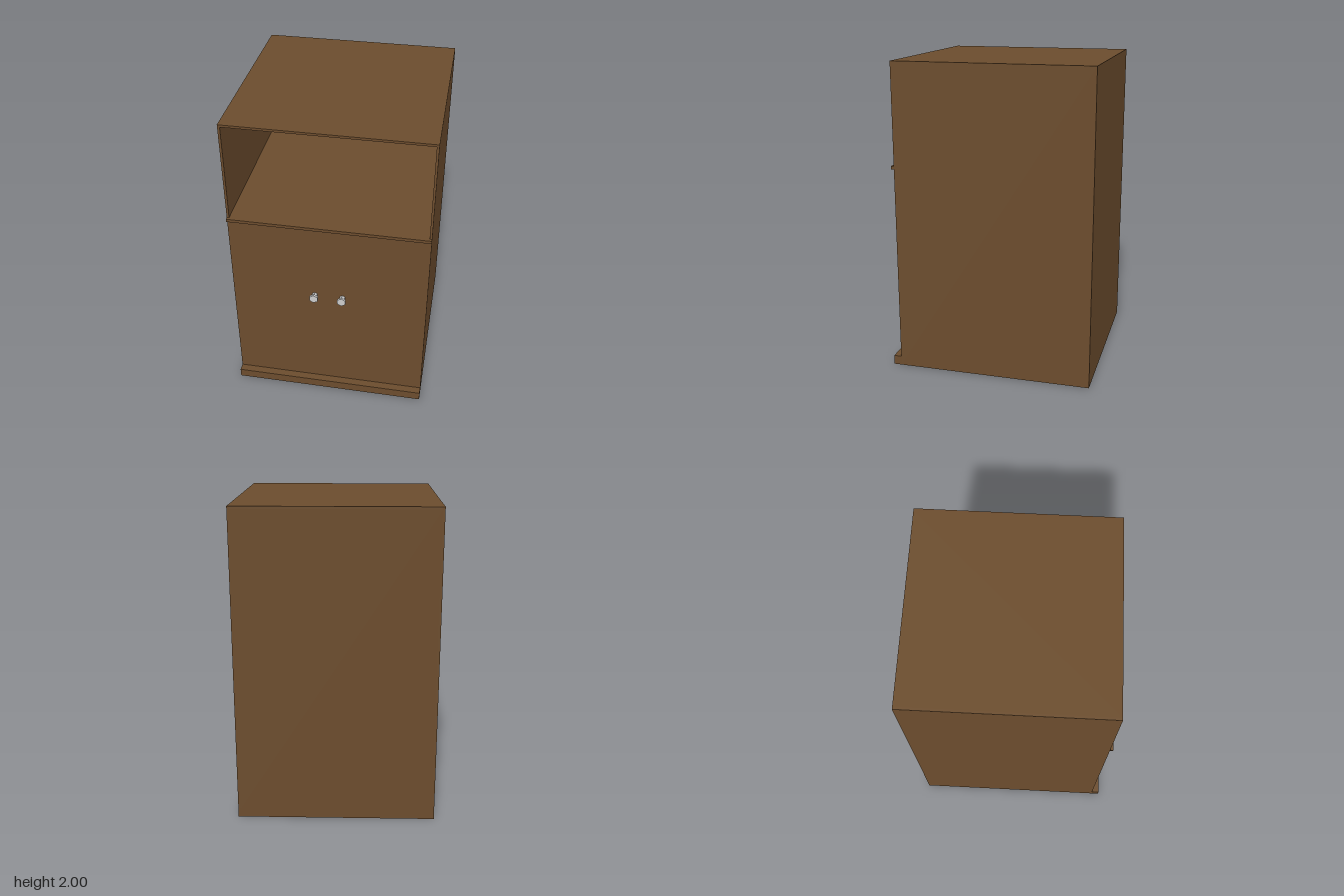
import * as THREE from 'three';

const wood = new THREE.MeshStandardMaterial({ color: 0x6b4c2d, flatShading: true });
const metal = new THREE.MeshStandardMaterial({ color: 0xcccccc, flatShading: true });

// Box given by its lower and upper corners
function panel(name, [x0, y0, z0], [x1, y1, z1]) {
  const mesh = new THREE.Mesh(new THREE.BoxGeometry(x1 - x0, y1 - y0, z1 - z0), wood);
  mesh.name = name;
  mesh.position.set((x0 + x1) / 2, (y0 + y1) / 2, (z0 + z1) / 2);
  return mesh;
}

// Six-sided rod pointing forward, from z0 to z1
function hexRod(name, radius, z0, z1) {
  const geometry = new THREE.CylinderGeometry(radius, radius, z1 - z0, 6);
  geometry.rotateX(Math.PI / 2);
  const mesh = new THREE.Mesh(geometry, metal);
  mesh.name = name;
  mesh.position.z = (z0 + z1) / 2;
  return mesh;
}

export function createModel() {
  const cabinet = new THREE.Group();
  cabinet.name = 'cabinet';

  const W = 0.63, back = -0.655, front = 0.605, H = 2, t = 0.015;
  const inner = W - t, shelfBottom = 1.33, shelfTop = 1.35, baseTop = 0.06;

  // Carcass
  cabinet.add(
    panel('leftSide', [inner, 0, back], [W, H, front]),
    panel('rightSide', [-W, 0, back], [-inner, H, front]),
    panel('topPanel', [-inner, H - t, back], [inner, H, front]),
    panel('backPanel', [-inner, baseTop, back], [inner, H - t, back + t]),
    panel('floorPanel', [-inner, 0, back], [inner, baseTop, front]),
    panel('shelf', [-inner, shelfBottom, back + t], [inner, shelfTop, front]),
    panel('doorFront', [-inner, baseTop, front - t], [inner, shelfBottom, front])
  );

  // Projecting trim
  cabinet.add(
    panel('shelfLip', [-W, shelfBottom, front], [W, shelfTop, 0.625]),
    panel('plinth', [-W, 0, front], [W, baseTop, 0.655])
  );

  // Door knobs
  for (const side of [-1, 1]) {
    const knob = new THREE.Group();
    knob.name = side > 0 ? 'leftKnob' : 'rightKnob';
    knob.add(hexRod('knobStem', 0.018, front, 0.637), hexRod('knobHead', 0.03, 0.637, 0.652));
    knob.position.set(side * 0.09, 0.803, 0);
    cabinet.add(knob);
  }

  return cabinet;
}
